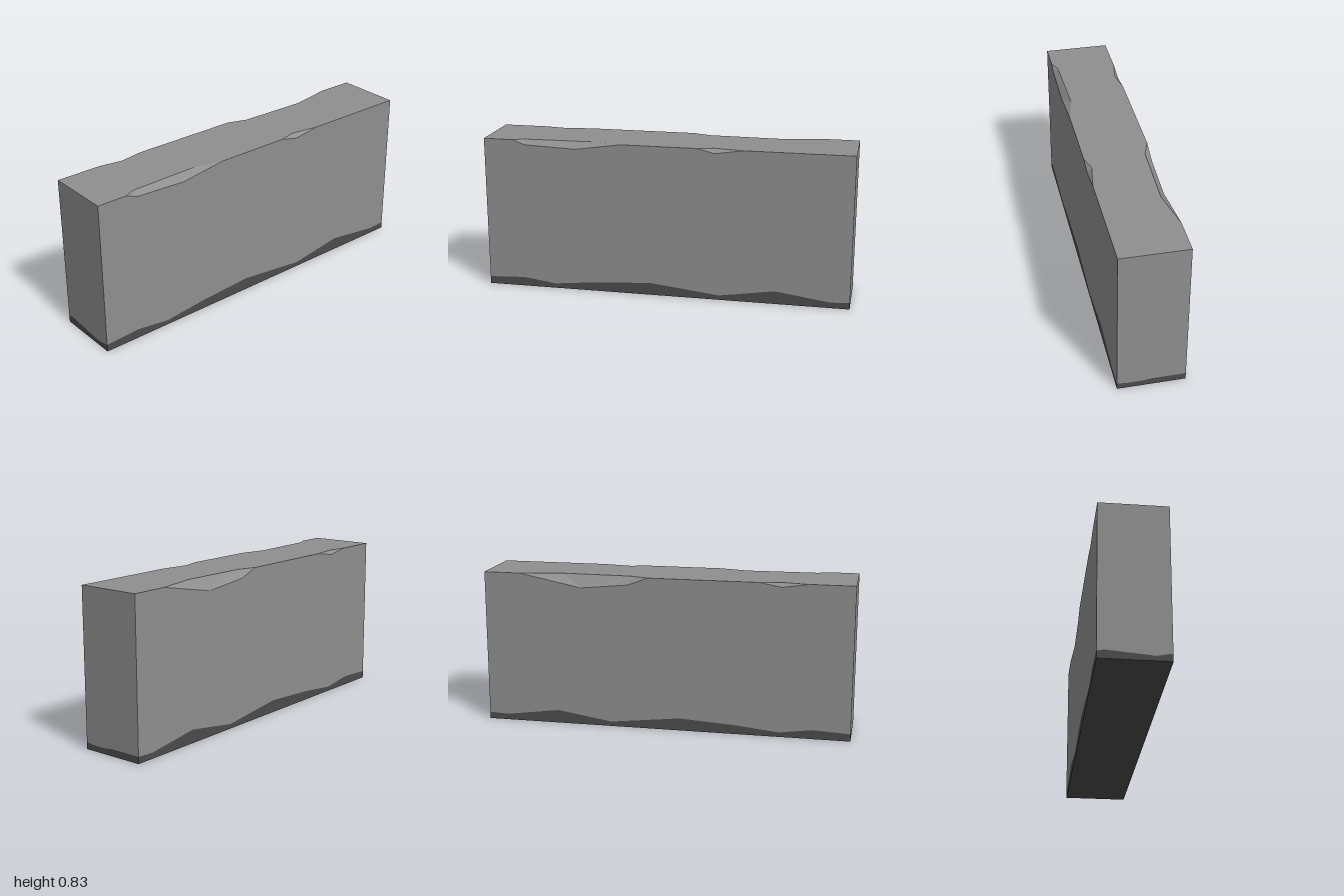
import * as THREE from 'three';

const W = 1, H = 0.835, D = 0.177;

// Chips along a top edge: start, [u, drop] points on the wall, [u, depth] points on the top, end
const frontChips = [
  { start: -0.84, end: -0.24, wall: [[-0.77, 0.025], [-0.49, 0.037]], top: [[-0.78, 0.027], [-0.4, 0.037]] },
  { start: 0.17, end: 0.42, wall: [[0.27, 0.023]], top: [[0.26, 0.025]] },
];
const backChips = [
  { start: -0.8, end: -0.09, wall: [[-0.46, 0.068], [-0.2, 0.042]], top: [[-0.57, 0.045], [-0.19, 0.035]] },
  { start: 0.5, end: 0.76, wall: [[0.62, 0.021]], top: [[0.63, 0.021]] },
];

// Wavy upper edge of the dark base band, left to right on each wall
const frontWave = [[-1, 0.04], [-0.8, 0.05], [-0.62, 0.025], [-0.38, 0.05], [-0.08, 0.068],
  [0.3, 0.025], [0.6, 0.072], [0.9, 0.031], [1, 0.037]];
const backWave = frontWave.map(([u, v]) => [-u, v]).reverse();
const rightWave = [[-D, 0.037], [-0.13, 0.031], [-0.05, 0.031], [0, 0.037], [D, 0.037]];
const leftWave = [[-D, 0.038], [-0.14, 0.045], [0.1, 0.025], [D, 0.04]];

export function createModel() {
  const model = new THREE.Group();
  model.name = 'chippedWall';
  const stone = new THREE.MeshStandardMaterial({ color: 0x8f8f8f });
  stone.name = 'stone grey';
  const dark = new THREE.MeshStandardMaterial({ color: 0x4b4b4b });
  dark.name = 'dark base grey';

  const add = (parent, name, geometry, material) => {
    const mesh = new THREE.Mesh(geometry, material);
    mesh.name = name;
    parent.add(mesh);
    return mesh;
  };
  const panel = pts => new THREE.ShapeGeometry(new THREE.Shape(pts.map(p => new THREE.Vector2(...p))));

  // Sloping facets that join the wall cut to the top cut
  const chipGeometry = ({ start, end, wall, top }) => {
    const s = [start, H, 0], e = [end, H, 0];
    const F = [s, ...wall.map(([u, drop]) => [u, H - drop, 0]), e];
    const T = [s, ...top.map(([u, depth]) => [u, H, -depth]), e];
    const pos = [];
    for (let i = 0; i < F.length - 1; i++) {
      if (i < F.length - 2) pos.push(...F[i], ...F[i + 1], ...T[i + 1]);
      if (i > 0) pos.push(...F[i], ...T[i + 1], ...T[i]);
    }
    const g = new THREE.BufferGeometry();
    g.setAttribute('position', new THREE.Float32BufferAttribute(pos, 3));
    g.computeVertexNormals();
    return g;
  };

  // One wall: stone above the wave, dark band below, chips cut from its top edge
  const addWall = (name, half, dist, angle, wave, chips) => {
    const side = new THREE.Group();
    side.name = name;
    const rim = chips.flatMap(c => [[c.start, H], ...c.wall.map(([u, drop]) => [u, H - drop]), [c.end, H]]);
    add(side, name + 'Stone', panel([...wave, [half, H], ...rim.reverse(), [-half, H]]), stone);
    add(side, name + 'BaseBand', panel([[-half, 0], [half, 0], ...[...wave].reverse()]), dark);
    chips.forEach((c, i) => add(side, name + 'Chip' + (i + 1), chipGeometry(c), stone));
    side.rotation.y = angle;
    side.position.set(Math.sin(angle) * dist, 0, Math.cos(angle) * dist);
    model.add(side);
  };
  addWall('front', W, D, 0, frontWave, frontChips);
  addWall('back', W, D, Math.PI, backWave, backChips);
  addWall('leftEnd', D, W, Math.PI / 2, rightWave, []);
  addWall('rightEnd', D, W, -Math.PI / 2, leftWave, []);

  // Top face, notched by the chips on both long edges
  const notches = chips => chips.flatMap(c =>
    [[c.start, -D], ...c.top.map(([u, depth]) => [u, depth - D]), [c.end, -D]]);
  const topOutline = [
    [-W, -D], ...notches(frontChips), [W, -D],
    [W, D], ...notches(backChips).map(([u, v]) => [-u, -v]), [-W, D],
  ];
  add(model, 'topFace', panel(topOutline).rotateX(-Math.PI / 2).translate(0, H, 0), stone);

  // Underside
  add(model, 'underside', new THREE.PlaneGeometry(2 * W, 2 * D).rotateX(Math.PI / 2), dark);
  return model;
}
